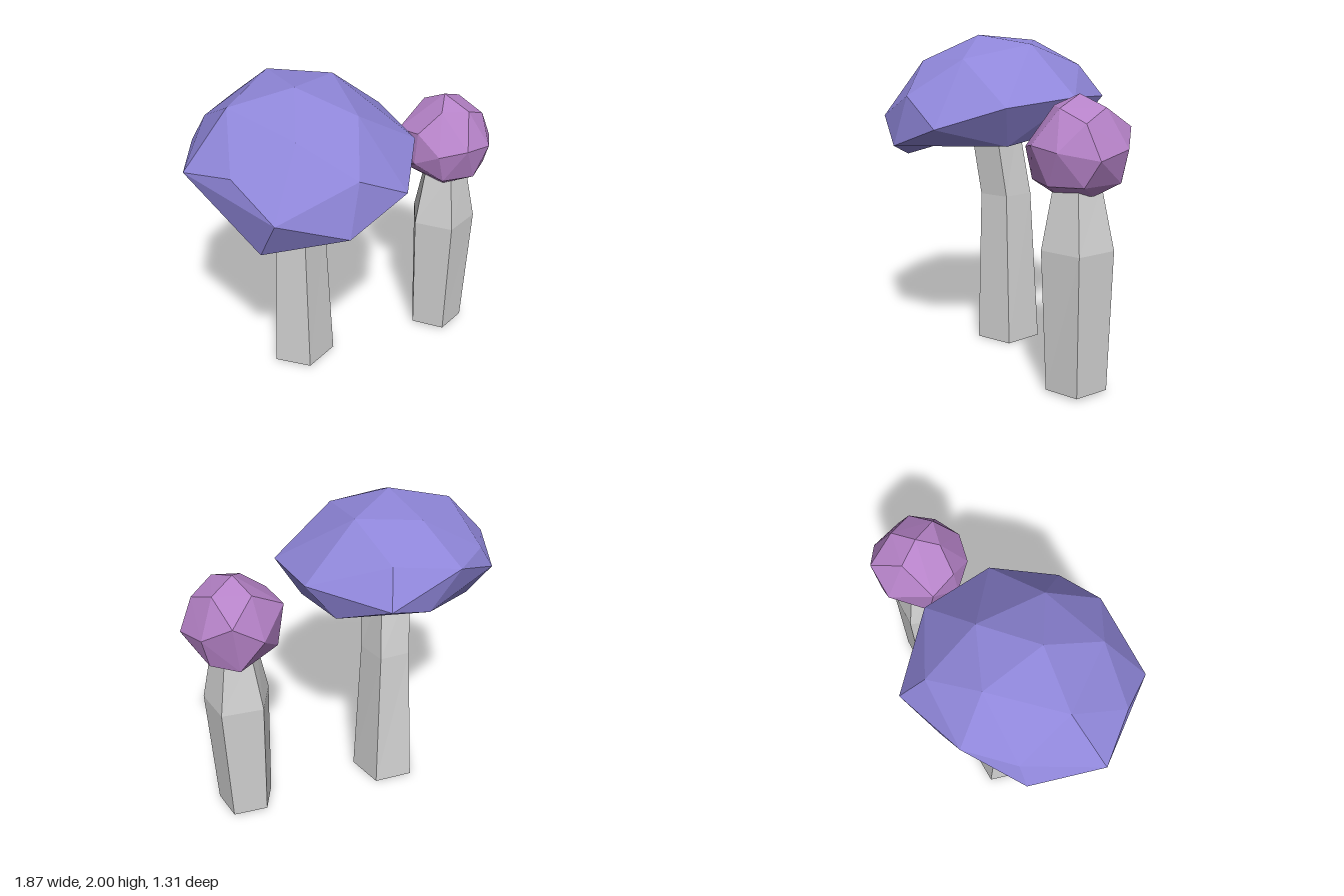
import * as THREE from 'three';
import { ConvexGeometry } from 'three/addons/geometries/ConvexGeometry.js';

const stemGrey = new THREE.MeshStandardMaterial({ color: 0xd0d0d0, flatShading: true, side: THREE.DoubleSide });
stemGrey.name = 'stem grey';
const capViolet = new THREE.MeshStandardMaterial({ color: 0x8f86d9, flatShading: true });
capViolet.name = 'cap violet';
const capPink = new THREE.MeshStandardMaterial({ color: 0xb582c7, flatShading: true });
capPink.name = 'cap pink';

const toVectors = (points) => points.map((p) => new THREE.Vector3(...p));

function meshFromTriangles(name, vectors, material) {
  const geometry = new THREE.BufferGeometry().setFromPoints(vectors);
  geometry.computeVertexNormals();
  const mesh = new THREE.Mesh(geometry, material);
  mesh.name = name;
  return mesh;
}

// Five-sided open tube; each ring is [height, [x, z] corners...]
function makeStem(name, rings) {
  const tris = [];
  const loops = rings.map(([y, ...corners]) => corners.map(([x, z]) => new THREE.Vector3(x, y, z)));
  for (let r = 0; r < loops.length - 1; r++) {
    const low = loops[r], high = loops[r + 1];
    for (let i = 0; i < low.length; i++) {
      const j = (i + 1) % low.length;
      tris.push(low[i], low[j], high[j], low[i], high[j], high[i]);
    }
  }
  return meshFromTriangles(name, tris, stemGrey);
}

// Faceted cap: hull of the points, with the underside inside the rim pulled up to a hollow
function makeCap(name, points, rimPoints, hollow, material) {
  const rim = toVectors(rimPoints);
  const hull = new ConvexGeometry([...toVectors(points), ...rim]).getAttribute('position');
  const isRim = (v) => rim.some((p) => p.distanceTo(v) < 1e-4);
  const tris = [];
  for (let i = 0; i < hull.count; i += 3) {
    const tri = [0, 1, 2].map((k) => new THREE.Vector3().fromBufferAttribute(hull, i + k));
    if (!tri.every(isRim)) tris.push(...tri);
  }
  const centre = new THREE.Vector3(...hollow);
  rim.forEach((p, i) => tris.push(centre, rim[(i + 1) % rim.length], p));
  return meshFromTriangles(name, tris, material);
}

export function createModel() {
  const model = new THREE.Group();
  model.name = 'mushrooms';

  // Large mushroom
  const large = new THREE.Group();
  large.name = 'largeMushroom';
  large.add(makeStem('largeStem', [
    [0, [-0.34, 0.04], [-0.09, 0.035], [-0.03, -0.21], [-0.24, -0.345], [-0.43, -0.18]],
    [0.98, [-0.33, 0.01], [-0.13, 0.005], [-0.08, -0.19], [-0.25, -0.285], [-0.4, -0.16]],
    [1.45, [-0.38, 0.055], [-0.18, 0.05], [-0.14, -0.14], [-0.3, -0.24], [-0.44, -0.12]],
  ]));
  large.add(makeCap('largeCap', [
    // crown
    [-0.36, 2, -0.015], [0.02, 1.95, -0.055], [-0.19, 1.96, -0.38], [-0.65, 1.91, -0.26],
    [-0.625, 1.84, 0.22], [-0.215, 1.87, 0.32],
    // widest band
    [0.39, 1.65, 0.015], [0.19, 1.61, 0.43], [-0.175, 1.48, 0.64], [-0.48, 1.65, 0.535],
    [-0.9, 1.48, 0.3], [-0.9, 1.66, -0.005], [-0.935, 1.6, -0.34], [-0.595, 1.575, -0.63],
    [-0.52, 1.72, -0.585], [-0.2, 1.735, -0.655], [0.265, 1.61, -0.51], [0.14, 1.81, -0.415],
  ], [
    [-0.85, 1.21, 0.14], [-0.58, 1.34, 0.555], [0.1, 1.365, 0.3],
    [0.3, 1.45, -0.14], [-0.02, 1.505, -0.57], [-0.6, 1.33, -0.46],
  ], [-0.27, 1.41, -0.08], capViolet));

  // Small mushroom
  const small = new THREE.Group();
  small.name = 'smallMushroom';
  small.add(makeStem('smallStem', [
    [0.015, [0.53, 0.515], [0.745, 0.52], [0.815, 0.315], [0.635, 0.19], [0.465, 0.31]],
    [0.85, [0.51, 0.54], [0.765, 0.545], [0.845, 0.31], [0.635, 0.16], [0.435, 0.305]],
    [1.22, [0.55, 0.48], [0.715, 0.485], [0.765, 0.325], [0.635, 0.235], [0.505, 0.32]],
  ]));
  small.add(makeCap('smallCap', [
    // crown
    [0.63, 1.715, 0.345], [0.8, 1.65, 0.345], [0.505, 1.65, 0.41], [0.62, 1.65, 0.53], [0.64, 1.64, 0.19],
    // widest band
    [0.375, 1.53, 0.33], [0.42, 1.5, 0.155], [0.845, 1.53, 0.15], [0.79, 1.58, 0.53], [0.495, 1.45, 0.62],
    [0.93, 1.43, 0.32], [0.685, 1.43, 0.655], [0.37, 1.42, 0.495], [0.685, 1.4, 0.065], [0.89, 1.39, 0.54],
    // lower band
    [0.35, 1.335, 0.33], [0.885, 1.24, 0.32], [0.6, 1.235, 0.61], [0.8, 1.24, 0.56],
    [0.8, 1.22, 0.16], [0.47, 1.23, 0.17], [0.42, 1.24, 0.5],
  ], [
    [0.54, 1.15, 0.43], [0.775, 1.17, 0.42], [0.64, 1.165, 0.245],
  ], [0.64, 1.17, 0.36], capPink));

  model.add(large, small);
  return model;
}
